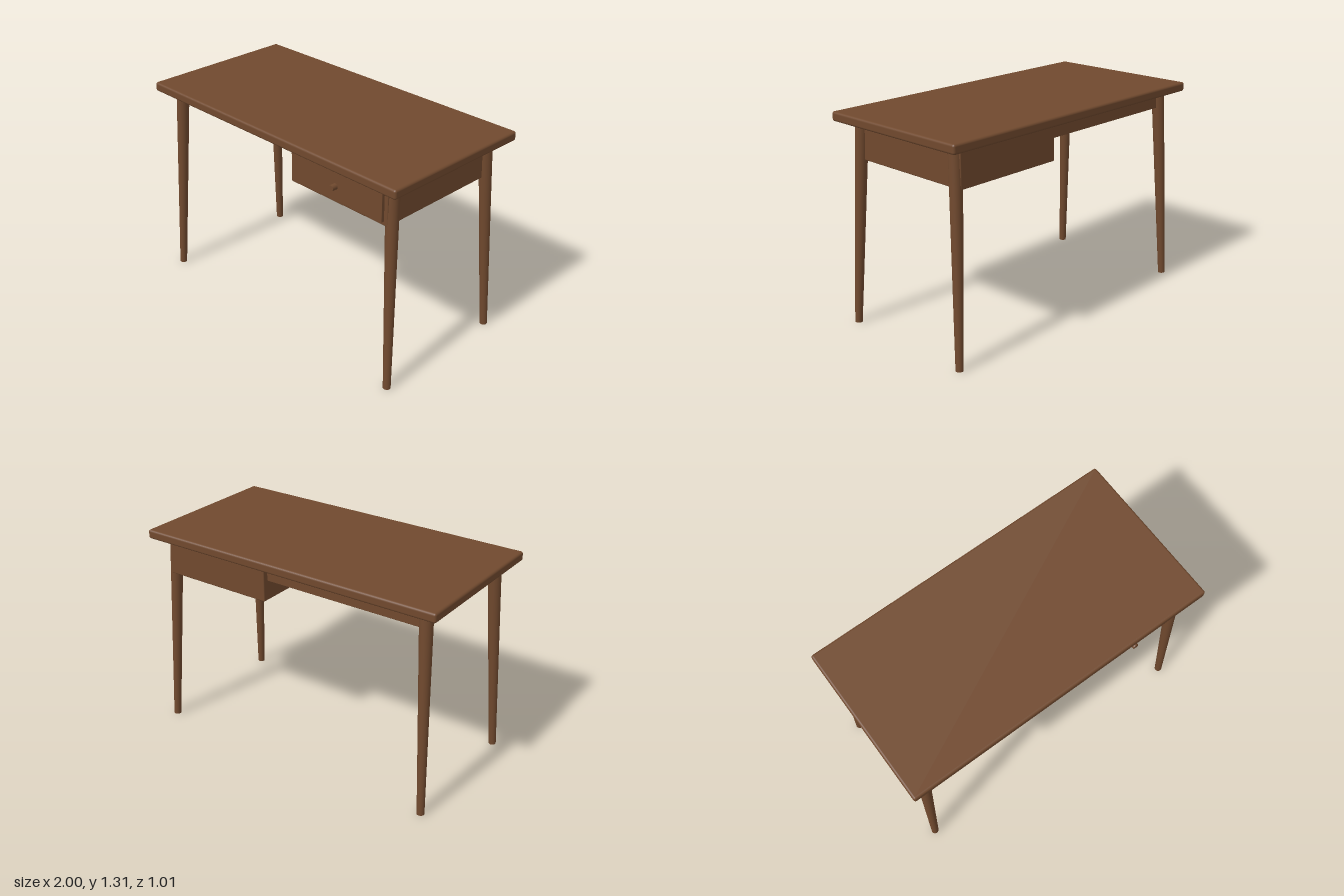
import * as THREE from 'three';
import { RoundedBoxGeometry } from 'three/addons/geometries/RoundedBoxGeometry.js';

export function createModel() {
  const desk = new THREE.Group();
  desk.name = 'desk';
  const wood = new THREE.MeshStandardMaterial({ color: 0x70492e });
  wood.name = 'walnut wood';

  const add = (name, geometry) => {
    const mesh = new THREE.Mesh(geometry, wood);
    mesh.name = name;
    desk.add(mesh);
    return mesh;
  };
  // Softly rounded box given by its extents on each axis
  const board = (name, [x0, x1], [y0, y1], [z0, z1], radius) =>
    add(name, new RoundedBoxGeometry(x1 - x0, y1 - y0, z1 - z0, 3, radius))
      .position.set((x0 + x1) / 2, (y0 + y1) / 2, (z0 + z1) / 2);

  board('tabletop', [-1, 1], [1.249, 1.306], [-0.503, 0.503], 0.014);
  // Single rail between the back legs
  board('backRail', [-0.87, 0.18], [1.147, 1.252], [-0.4, -0.375], 0.003);
  board('drawerCase', [0.165, 0.892], [1.025, 1.251], [-0.433, 0.433], 0.006);
  board('drawerFront', [0.192, 0.868], [1.049, 1.224], [0.425, 0.452], 0.002);

  // Round knob on the drawer
  const knob = add('drawerKnob', new THREE.CylinderGeometry(0.018, 0.018, 0.042, 24));
  knob.rotation.x = Math.PI / 2;
  knob.position.set(0.53, 1.136, 0.466);

  // Tapered legs splayed outwards to each corner
  const up = new THREE.Vector3(0, 1, 0);
  for (const sx of [-1, 1]) {
    for (const sz of [-1, 1]) {
      const foot = new THREE.Vector3(sx * 0.939, 0.001, sz * 0.443);
      const head = new THREE.Vector3(sx * 0.88, 1.256, sz * 0.384);
      const axis = head.clone().sub(foot);
      const name = (sz > 0 ? 'front' : 'back') + (sx > 0 ? 'Left' : 'Right') + 'Leg';
      const leg = add(name, new THREE.CylinderGeometry(0.04, 0.0225, axis.length(), 32));
      leg.position.copy(foot).add(head).multiplyScalar(0.5);
      leg.quaternion.setFromUnitVectors(up, axis.normalize());
    }
  }
  return desk;
}
